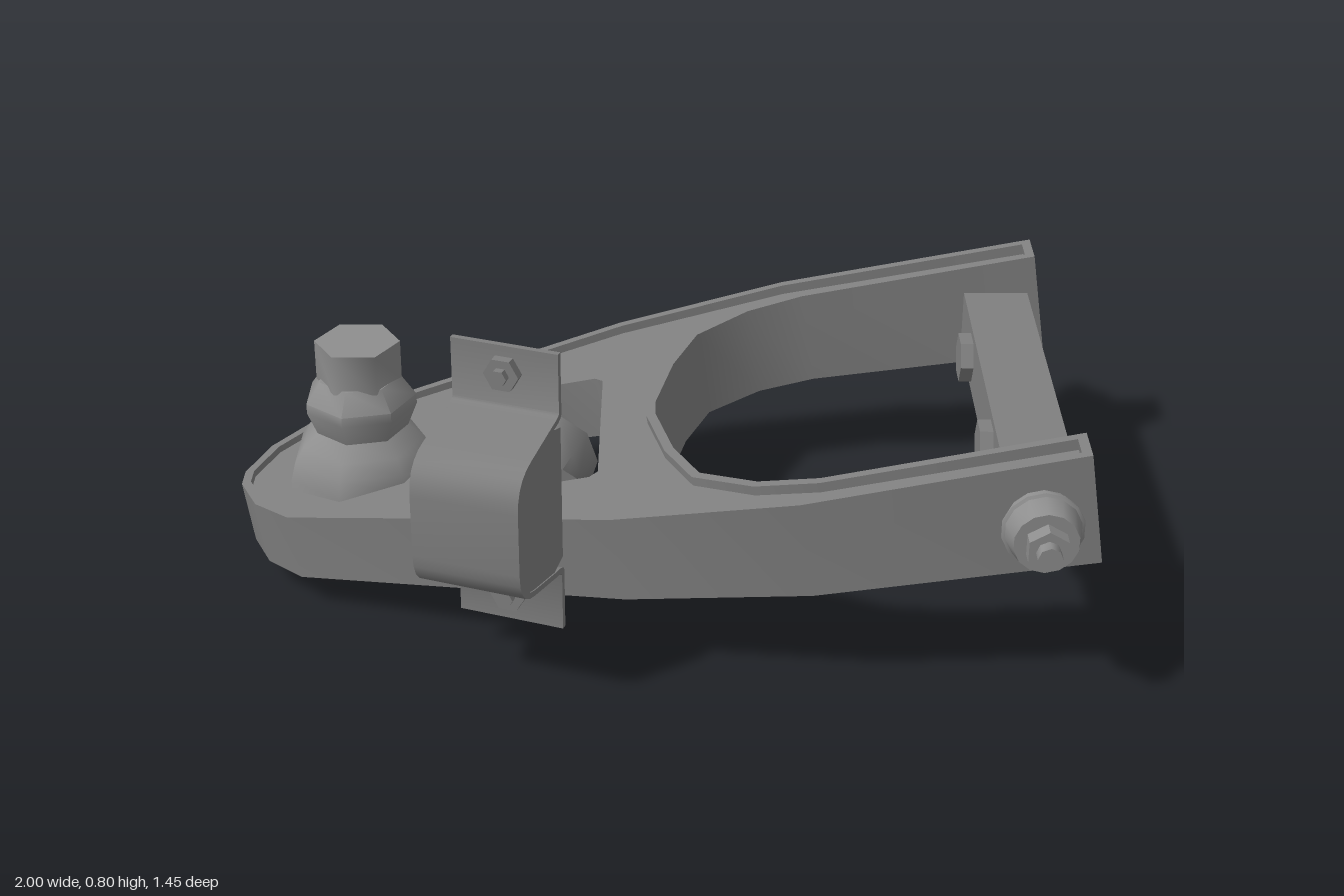
import * as THREE from 'three';
import { toCreasedNormals } from 'three/addons/utils/BufferGeometryUtils.js';

const dark = new THREE.MeshStandardMaterial({ color: 0x808080 });
const metal = new THREE.MeshStandardMaterial({ color: 0x8e8e8e });
const V = (x, y) => new THREE.Vector2(x, y);
const MID = -0.008; // plane of symmetry
const TILT = 0.136; // slope of the arm

function add(parent, name, geo, x = 0, y = 0, z = 0, mat = dark, crease = 0.8) {
  const m = new THREE.Mesh(toCreasedNormals(geo, crease), mat);
  m.name = name;
  m.position.set(x, y, z);
  parent.add(m);
  return m;
}

const rod = (r, len, sides) => new THREE.CylinderGeometry(r, r, len, sides);

// Turned part along +y from [radius, height] pairs
const turned = (pts, sides, start = 0) =>
  new THREE.LatheGeometry(pts.map(p => V(...p)), sides, start);

// Move a closed, counter-clockwise polygon inwards by d
function inset(pts, d) {
  const n = pts.length;
  return pts.map((p, i) => {
    const a = p.clone().sub(pts[(i + n - 1) % n]).normalize();
    const b = pts[(i + 1) % n].clone().sub(p).normalize();
    const na = V(-a.y, a.x), nb = V(-b.y, b.x);
    return na.clone().add(nb).multiplyScalar(d / (1 + na.dot(nb))).add(p);
  });
}

// Extrude a plan shape and bend it into the tilted, tapering arm body
function armSlab(outline, hole, t0, t1) {
  const shape = new THREE.Shape(outline);
  shape.holes.push(new THREE.Path(hole));
  const geo = new THREE.ExtrudeGeometry(shape, { depth: 1, bevelEnabled: false });
  const p = geo.attributes.position;
  for (let i = 0; i < p.count; i++) {
    const x = p.getX(i), t = t0 + (t1 - t0) * p.getZ(i), u = (x + 0.975) / 1.97;
    const h = 0.155 + 0.115 * u;
    p.setXYZ(i, x - 0.15 * h * t, 0.06 + 0.27 * u + h * t, MID - p.getY(i));
  }
  return geo;
}

function buildArm(group) {
  // Half plan: outer edge from nose to tip, then inner edge back to the centre
  const half = [
    [-0.975, 0.03], [-0.925, 0.145], [-0.835, 0.238], [-0.06, 0.503], [0.36, 0.577], [0.998, 0.573],
    [0.998, 0.468], [0.41, 0.472], [0.27, 0.44], [0.14, 0.355], [0.08, 0.215], [0.037, 0.03]
  ];
  const plan = [
    ...half.map(([x, s]) => V(x, -s)),
    ...half.slice().reverse().map(([x, s]) => V(x, s))
  ];
  const opening = [
    [-0.44, -0.195], [-0.405, -0.25], [-0.12, -0.25], [-0.1, -0.23],
    [-0.1, 0.23], [-0.12, 0.25], [-0.405, 0.25], [-0.44, 0.195]
  ].map(p => V(...p));
  add(group, 'armWeb', armSlab(inset(plan, 0.01), opening, 0.12, 0.9));
  add(group, 'armRim', armSlab(plan, inset(plan, 0.022), 0, 1));
}

function buildBallJoint(group) {
  const g = new THREE.Group();
  g.name = 'ballJoint';
  g.position.set(-0.703, 0, -0.015);
  group.add(g);
  // Rubber boot and stud
  add(g, 'boot', turned([[0, 0.16], [0.185, 0.16], [0.185, 0.25], [0.173, 0.295], [0.15, 0.33], [0.112, 0.362],
    [0.135, 0.42], [0.135, 0.445], [0.098, 0.495], [0, 0.495]], 7, Math.PI / 2), 0, 0, 0, metal, 0.95);
  add(g, 'stud', turned([[0, 0.485], [0.102, 0.485], [0.102, 0.585], [0, 0.585]], 6, Math.PI / 2), 0, 0, 0, metal, 1.1);
  // Lower housing, square to the arm
  const lower = new THREE.Group();
  lower.name = 'housing';
  lower.position.set(0.015, 0.035, 0.012);
  lower.rotation.z = TILT;
  g.add(lower);
  add(lower, 'housingCup', rod(0.154, 0.12, 12), 0, 0.06, 0);
  add(lower, 'greaseFitting', rod(0.025, 0.05, 6), 0, -0.008, 0);
  // Three fixing bolts around the housing
  for (const [x, z] of [[-0.205, 0], [0.09, 0.183], [0.09, -0.183]]) {
    add(lower, 'housingNut', rod(0.031, 0.035, 6), x, 0.056, z);
    add(lower, 'housingBolt', rod(0.018, 0.07, 6), x, 0.063, z);
  }
}

function buildSpool(group) {
  // Waisted bush with a nut and stud at both ends
  const g = new THREE.Group();
  g.name = 'shockMount';
  g.position.set(-0.272, 0.195, -0.01);
  g.rotation.x = Math.PI / 2;
  group.add(g);
  add(g, 'spool', turned([[0, -0.125], [0.133, -0.125], [0.09, -0.06], [0.062, -0.015], [0.062, 0.015],
    [0.09, 0.06], [0.133, 0.125], [0, 0.125]], 10, Math.PI / 2));
  for (const y of [-0.15, 0.15]) add(g, 'spoolNut', rod(0.075, 0.05, 6), 0, y, 0);
  add(g, 'spoolStud', rod(0.037, 0.45, 8));
}

function buildPivot(group) {
  // Cross bar with two bolt heads
  add(group, 'crossBar', new THREE.BoxGeometry(0.16, 0.145, 0.87), 0.862, 0.438, -0.015);
  for (const z of [-0.232, 0.222]) {
    add(group, 'barBolt', rod(0.06, 0.04, 6), 0.771, 0.438, z).rotation.z = Math.PI / 2;
  }
  // Bushing with nut and stud on each outer side
  for (const side of [1, -1]) {
    const g = new THREE.Group();
    g.name = side > 0 ? 'frontBushing' : 'backBushing';
    g.position.set(0.857, 0.432, side * 0.57 - 0.003);
    g.rotation.x = side * Math.PI / 2;
    group.add(g);
    add(g, 'bushing', turned([[0, -0.01], [0.083, -0.01], [0.083, 0.02], [0.093, 0.024], [0.093, 0.03],
      [0.086, 0.034], [0.073, 0.09], [0, 0.09]], 14), 0, 0, 0, metal);
    add(g, 'bushingNut', rod(0.05, 0.04, 6), 0, 0.107, 0, metal);
    add(g, 'bushingStud', rod(0.028, 0.07, 8), 0, 0.122, 0, metal);
  }
}

function buildBracket(group) {
  const g = new THREE.Group();
  g.name = 'bracket';
  g.position.set(-0.318, 0, 0.425);
  g.rotation.y = -1.918;
  group.add(g);
  // Upper half of the folded strip's edge: tab, slanted flange, bend; local x points outwards
  const edge = e => {
    const p = new THREE.Path();
    p.moveTo(e, 0.35);
    p.lineTo(e, 0.2 + e * 0.5);
    p.quadraticCurveTo(e, 0.185 + e, 0.05, 0.18 + e);
    p.lineTo(0.17, 0.156 + e);
    p.quadraticCurveTo(0.238 + e, 0.143 + e, 0.238 + e, 0.075);
    return p.getPoints(5);
  };
  const full = pts => [...pts, ...pts.slice().reverse().map(p => V(p.x, -p.y))];
  const slab = (pts, width) =>
    new THREE.ExtrudeGeometry(new THREE.Shape(pts), { depth: width, bevelEnabled: false })
      .translate(0, 0.448, -width / 2);
  add(g, 'bracketStrip', slab([...full(edge(0.014)), ...full(edge(0)).reverse()], 0.255));
  // Rubber block held inside the strip
  add(g, 'bracketBush', slab(full([V(0, 0.165), ...edge(0).slice(6)]), 0.249));
  // Tab bolts
  for (const y of [0.735, 0.17]) {
    add(g, 'tabNut', rod(0.042, 0.042, 6), 0.015, y, 0).rotation.z = Math.PI / 2;
    add(g, 'tabBolt', rod(0.02, 0.055, 6), 0.025, y, 0).rotation.z = Math.PI / 2;
  }
}

export function createModel() {
  const group = new THREE.Group();
  group.name = 'controlArm';
  buildArm(group);
  buildBallJoint(group);
  buildSpool(group);
  buildPivot(group);
  buildBracket(group);
  return group;
}
